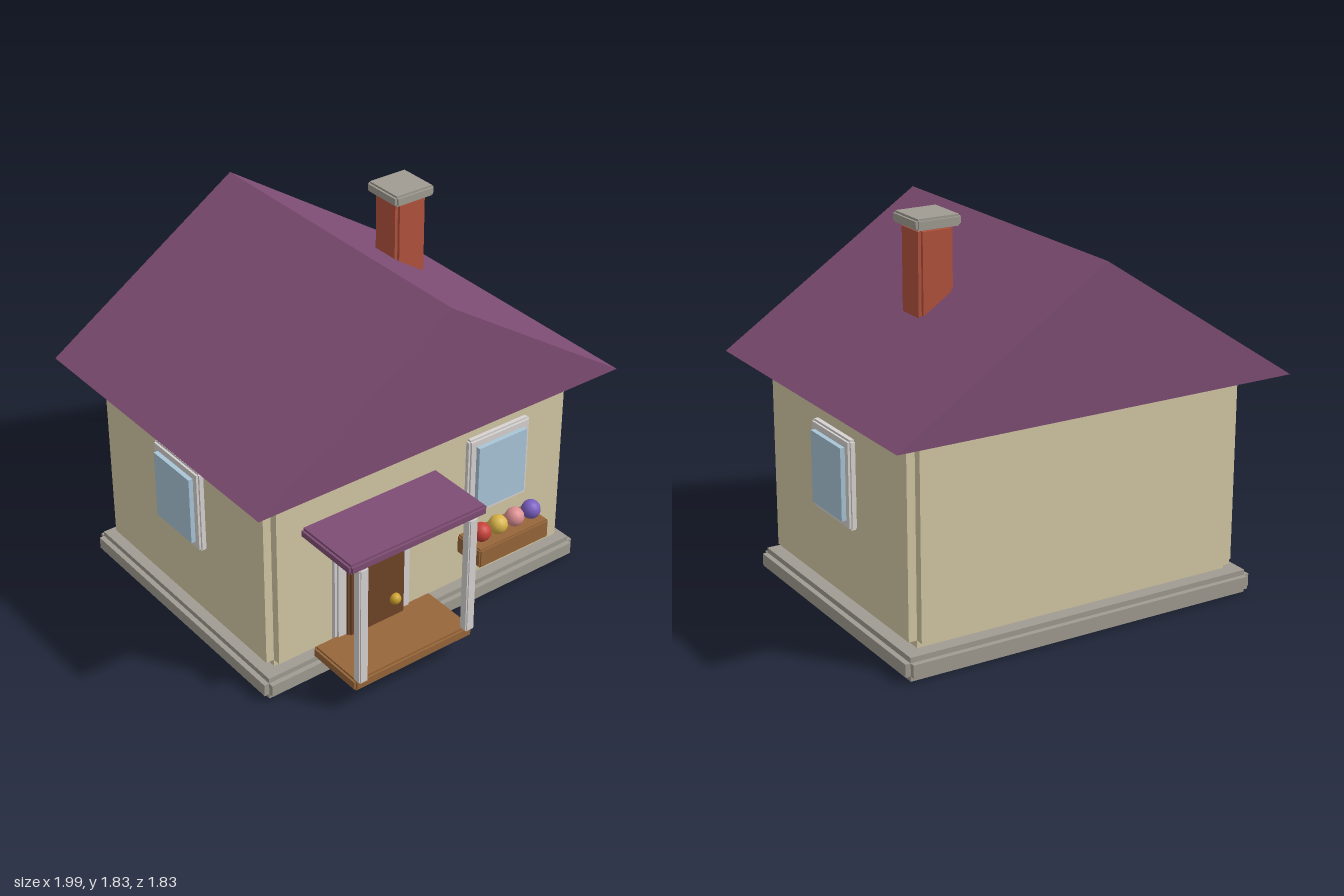
import * as THREE from 'three';

const COLORS = {
  roof: 0x7f4d74, wall: 0xd4c8a5, stone: 0xa09c92, brick: 0xb2523c, trim: 0xd8d4d2,
  glass: 0xa9c6d8, door: 0x6e4528, wood: 0x97663a, gold: 0xc9a02c,
  red: 0xc8423a, yellow: 0xd9b44a, pink: 0xdc8f92, violet: 0x7a5fc0,
};
const materials = {};
for (const key in COLORS) {
  materials[key] = new THREE.MeshStandardMaterial({ color: COLORS[key] });
}

function add(parent, name, geometry, color) {
  const mesh = new THREE.Mesh(geometry, materials[color]);
  mesh.name = name;
  parent.add(mesh);
  return mesh;
}

// Plain box between two corners, given as [min, max] per axis
function box(parent, name, color, [x0, x1], [y0, y1], [z0, z1]) {
  const g = new THREE.BoxGeometry(x1 - x0, y1 - y0, z1 - z0);
  const mesh = add(parent, name, g, color);
  mesh.position.set((x0 + x1) / 2, (y0 + y1) / 2, (z0 + z1) / 2);
  return mesh;
}

// Box with notched edges: three crossed boxes, each full length along one axis only
function notchedBox(parent, name, color, x, y, z, b) {
  const group = new THREE.Group();
  group.name = name;
  const inset = ([a, c]) => [a + b, c - b];
  box(group, name + 'Wide', color, x, inset(y), inset(z));
  box(group, name + 'Tall', color, inset(x), y, inset(z));
  box(group, name + 'Deep', color, inset(x), inset(y), z);
  parent.add(group);
  return group;
}

function ball(parent, name, color, r, x, y, z) {
  add(parent, name, new THREE.SphereGeometry(r, 14, 10), color).position.set(x, y, z);
}

// Window facing +z, with its back on the local z = 0 plane
function makeWindow(name) {
  const group = new THREE.Group();
  group.name = name;
  notchedBox(group, 'windowFrame', 'trim', [-0.178, 0.178], [-0.208, 0.208], [-0.03, 0.028], 0.01);
  box(group, 'windowGlass', 'glass', [-0.14, 0.14], [-0.168, 0.168], [-0.02, 0.05]);
  return group;
}

export function createModel() {
  const house = new THREE.Group();
  house.name = 'house';

  // Foundation and walls
  notchedBox(house, 'foundation', 'stone', [-0.905, 0.905], [0, 0.11], [-0.82, 0.612], 0.025);
  notchedBox(house, 'walls', 'wall', [-0.85, 0.85], [0.105, 1.072], [-0.767, 0.567], 0.04);

  // Gable roof
  const gable = new THREE.Shape([
    new THREE.Vector2(-0.995, 1.07),
    new THREE.Vector2(0.995, 1.07),
    new THREE.Vector2(0, 1.725),
  ]);
  const roof = new THREE.ExtrudeGeometry(gable, { depth: 1.626, bevelEnabled: false });
  add(house, 'roof', roof, 'roof').position.z = -0.915;

  // Chimney
  notchedBox(house, 'chimney', 'brick', [0.34, 0.51], [1.2, 1.785], [-0.255, -0.085], 0.015);
  notchedBox(house, 'chimneyCap', 'stone', [0.315, 0.535], [1.78, 1.832], [-0.278, -0.06], 0.01);

  // Windows: one in front, one on each side
  const front = makeWindow('frontWindow');
  front.position.set(0.408, 0.703, 0.567);
  house.add(front);
  for (const side of [-1, 1]) {
    const win = makeWindow(side > 0 ? 'leftWindow' : 'rightWindow');
    win.position.set(side * 0.853, 0.703, -0.1);
    win.rotation.y = side * Math.PI / 2;
    house.add(win);
  }

  // Flower box
  notchedBox(house, 'flowerBox', 'wood', [0.2, 0.615], [0.303, 0.402], [0.56, 0.725], 0.007);
  ['red', 'yellow', 'pink', 'violet'].forEach((color, i) => {
    ball(house, 'flower' + (i + 1), color, 0.046, 0.257 + i * 0.1, 0.45, 0.662);
  });

  // Door
  notchedBox(house, 'doorFrame', 'trim', [-0.52, -0.1], [0.005, 0.62], [0.54, 0.6], 0.012);
  notchedBox(house, 'door', 'door', [-0.465, -0.15], [0.005, 0.532], [0.55, 0.622], 0.01);
  ball(house, 'doorKnob', 'gold', 0.028, -0.212, 0.267, 0.628);

  // Porch
  notchedBox(house, 'porchFloor', 'wood', [-0.635, 0.022], [0.112, 0.17], [0.58, 0.89], 0.01);
  notchedBox(house, 'porchRoof', 'roof', [-0.68, 0.065], [0.77, 0.82], [0.55, 0.913], 0.011);
  for (const x of [-0.605, -0.008]) {
    notchedBox(house, 'porchPost', 'trim', [x - 0.024, x + 0.024], [0.165, 0.775], [0.863, 0.911], 0.006);
  }

  return house;
}
